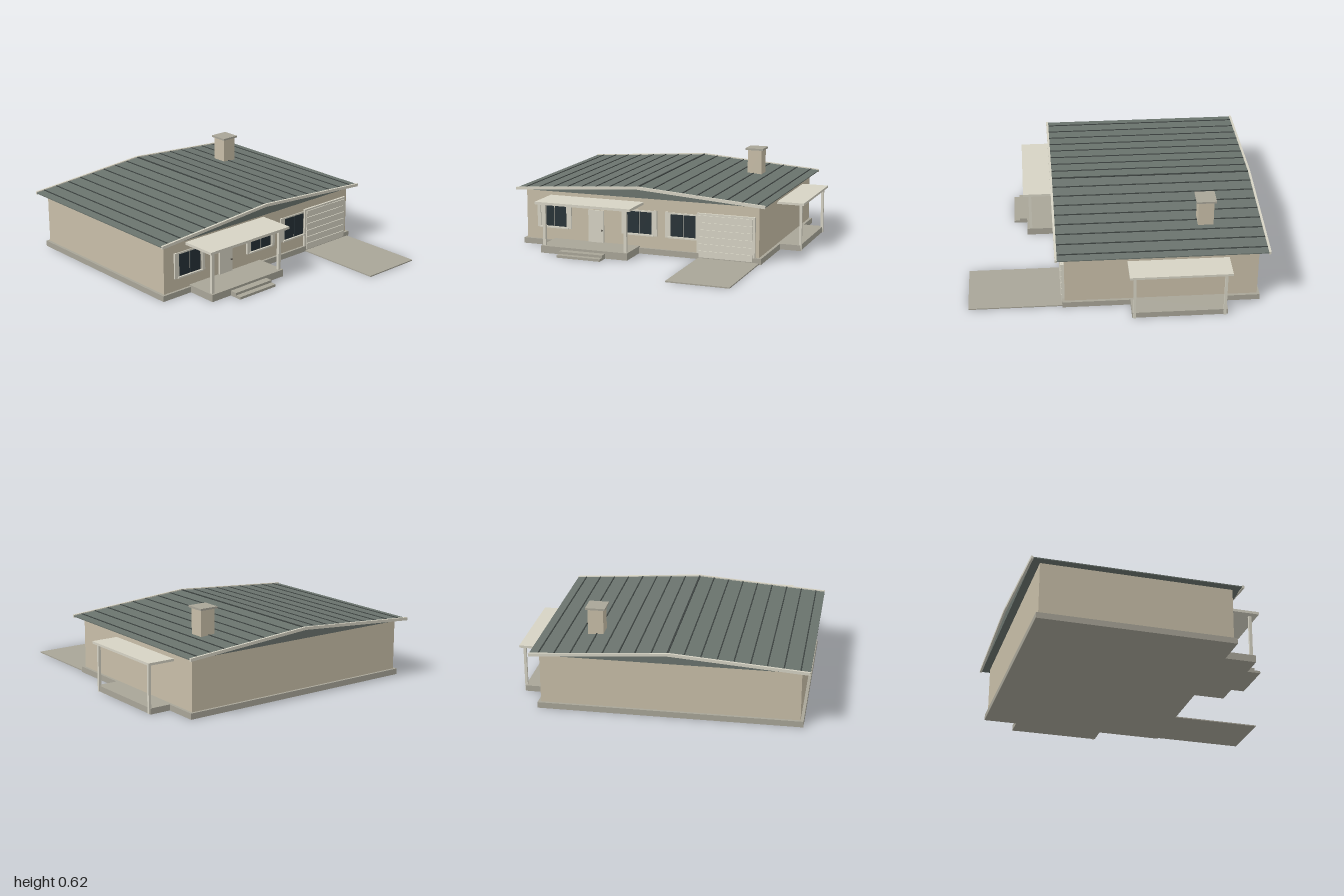
import * as THREE from 'three';

const mat = (color) => new THREE.MeshStandardMaterial({ color });

export function createModel() {
  const house = new THREE.Group();
  house.name = 'house';
  const wall = mat(0xc8bea8), cream = mat(0xd6d3c4), stone = mat(0xa8a598);
  const roofing = mat(0x6a736d), seamMat = mat(0x3c4240), glass = mat(0x263136), metal = mat(0x55524a);

  // Box given by its limits on each axis
  const box = (name, m, x0, x1, y0, y1, z0, z1, parent = house) => {
    const mesh = new THREE.Mesh(new THREE.BoxGeometry(x1 - x0, y1 - y0, z1 - z0), m);
    mesh.position.set((x0 + x1) / 2, (y0 + y1) / 2, (z0 + z1) / 2);
    mesh.name = name;
    parent.add(mesh);
    return mesh;
  };
  const group = (name) => {
    const g = new THREE.Group();
    g.name = name;
    house.add(g);
    return g;
  };

  // Body
  box('foundation', stone, -0.945, 0.805, 0, 0.04, -0.95, 0.375);
  box('walls', wall, -0.925, 0.785, 0.04, 0.4, -0.932, 0.358);

  // Low gable roof: solid prism running along z
  const ridgeX = -0.07, half = 0.91, eaveY = 0.404, ridgeY = 0.468;
  const roof = group('roof');
  const gable = new THREE.Shape([
    [ridgeX - half, 0.397], [ridgeX + half, 0.397], [ridgeX + half, eaveY],
    [ridgeX, ridgeY], [ridgeX - half, eaveY],
  ].map(([x, y]) => new THREE.Vector2(x, y)));
  const prism = new THREE.Mesh(new THREE.ExtrudeGeometry(gable, { depth: 1.395, bevelEnabled: false }), roofing);
  prism.position.z = -0.985;
  prism.name = 'roofSlopes';
  roof.add(prism);

  // Seams parallel to the ridge, and cream trim along the gable edges
  const slope = Math.atan2(ridgeY - eaveY, half);
  box('ridgeCap', seamMat, ridgeX - 0.006, ridgeX + 0.006, 0.463, 0.473, -0.985, 0.41, roof);
  for (const side of [-1, 1]) {
    for (let i = 1; i <= 8; i++) {
      const d = i * 0.106, x = ridgeX + side * d;
      const y = ridgeY - d * Math.tan(slope);
      const seam = box('roofSeam', seamMat, x - 0.004, x + 0.004, y - 0.004, y + 0.004, -0.985, 0.41, roof);
      seam.rotation.z = -side * slope;
    }
  }
  const trim = new THREE.Shape([
    [-half, eaveY - 0.014], [0, ridgeY - 0.012], [half, eaveY - 0.014],
    [half, eaveY + 0.006], [0, ridgeY + 0.008], [-half, eaveY + 0.006],
  ].map(([x, y]) => new THREE.Vector2(x + ridgeX, y)));
  for (const z of [-1, 0.405]) {
    const mesh = new THREE.Mesh(new THREE.ExtrudeGeometry(trim, { depth: 0.015, bevelEnabled: false }), cream);
    mesh.position.z = z;
    mesh.name = 'gableTrim';
    roof.add(mesh);
  }

  // Chimney
  const chimney = group('chimney');
  box('chimneyStack', wall, 0.415, 0.52, 0.42, 0.605, -0.66, -0.555, chimney);
  box('chimneyCap', stone, 0.4, 0.533, 0.603, 0.616, -0.675, -0.54, chimney);

  // Front porch with steps
  const porch = group('frontPorch');
  box('porchSlab', stone, -0.71, -0.07, 0, 0.05, 0.35, 0.59, porch);
  box('upperStep', stone, -0.55, -0.23, 0, 0.034, 0.58, 0.642, porch);
  box('lowerStep', stone, -0.55, -0.23, 0, 0.017, 0.58, 0.682, porch);
  box('porchRoof', cream, -0.74, -0.04, 0.342, 0.36, 0.34, 0.612, porch);
  for (const x of [-0.69, -0.09]) box('porchPost', cream, x - 0.01, x + 0.01, 0.05, 0.343, 0.555, 0.575, porch);

  // Side porch
  const sidePorch = group('sidePorch');
  box('sidePorchSlab', stone, 0.78, 0.95, 0, 0.04, -0.715, -0.08, sidePorch);
  box('sidePorchRoof', cream, 0.775, 0.975, 0.326, 0.342, -0.735, -0.06, sidePorch);
  for (const z of [-0.695, -0.095]) box('sidePorchPost', cream, 0.938, 0.956, 0, 0.328, z - 0.009, z + 0.009, sidePorch);

  // Windows with frame, two panes, sill and shutters
  for (const x of [-0.71, -0.07, 0.25]) {
    const w = group('window');
    box('windowFrame', cream, x - 0.105, x + 0.105, 0.13, 0.303, 0.35, 0.364, w);
    for (const s of [-1, 1]) {
      const c = x + s * 0.046;
      box('windowPane', glass, c - 0.043, c + 0.043, 0.14, 0.292, 0.352, 0.368, w);
      const sx = x + s * 0.118;
      box('shutter', cream, sx - 0.012, sx + 0.012, 0.128, 0.306, 0.35, 0.37, w);
    }
    box('windowSill', cream, x - 0.108, x + 0.108, 0.126, 0.136, 0.35, 0.376, w);
  }

  // Entrance door
  const door = group('entranceDoor');
  box('doorPanel', cream, -0.45, -0.335, 0.05, 0.277, 0.35, 0.37, door);
  const knob = new THREE.Mesh(new THREE.SphereGeometry(0.007, 12, 8), metal);
  knob.position.set(-0.347, 0.137, 0.374);
  knob.name = 'doorKnob';
  door.add(knob);

  // Garage door of stacked panels in a frame
  const garage = group('garageDoor');
  box('garageFrame', cream, 0.35, 0.76, 0.01, 0.317, 0.35, 0.374, garage);
  for (let i = 0; i < 6; i++) {
    const y = 0.014 + i * 0.049;
    box('garagePanel', cream, 0.365, 0.745, y, y + 0.045, 0.36, 0.381, garage);
  }

  box('driveway', stone, 0.36, 0.79, 0, 0.008, 0.37, 1);
  return house;
}
